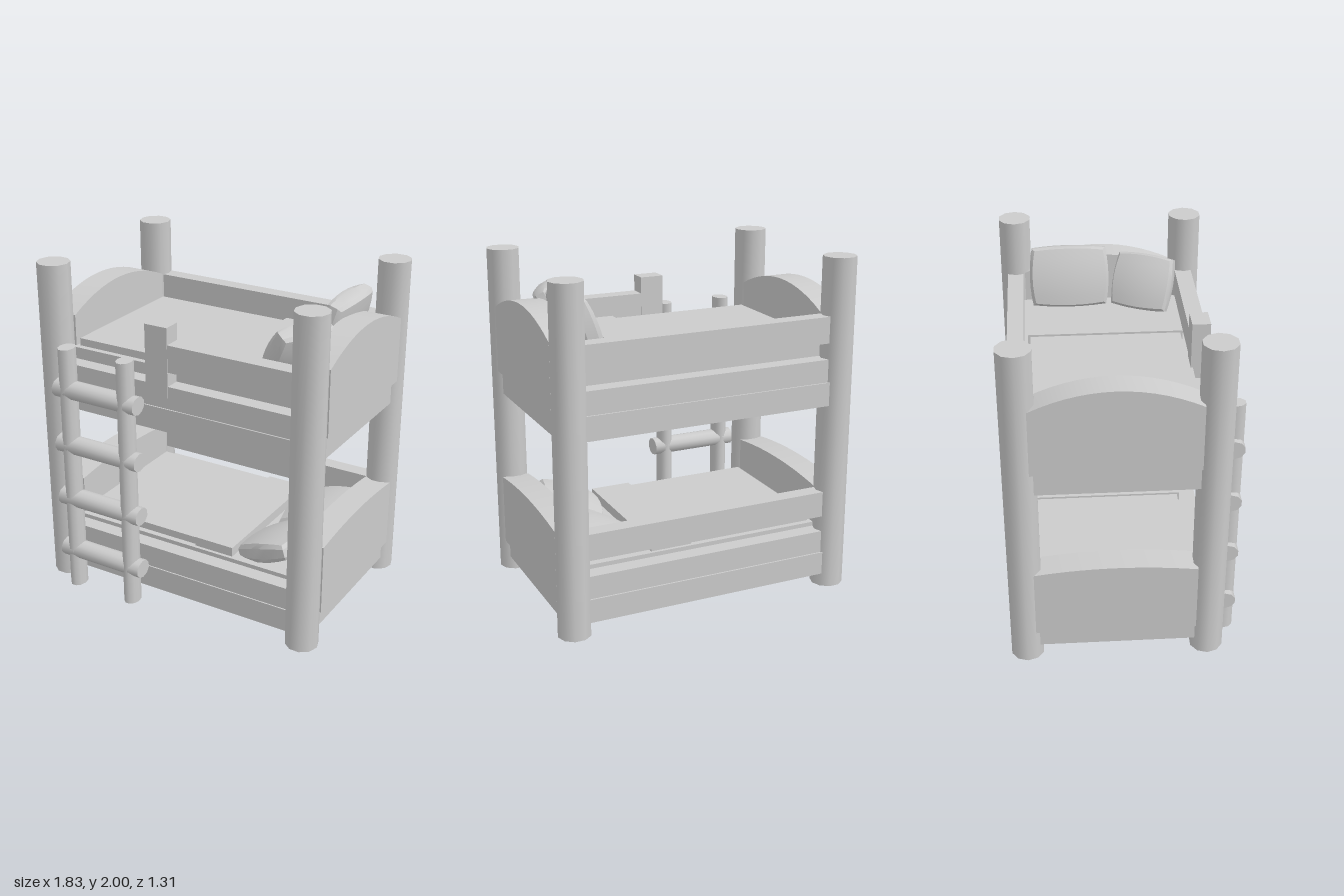
import * as THREE from 'three';
import { toCreasedNormals } from 'three/addons/utils/BufferGeometryUtils.js';

const material = new THREE.MeshStandardMaterial({ color: 0xcccccc });
const ZC = -0.043; // middle of the bed frame in z

function add(parent, name, geometry) {
  const mesh = new THREE.Mesh(geometry, material);
  mesh.name = name;
  parent.add(mesh);
  return mesh;
}

// Box given by its extents on each axis
function block(parent, name, [x0, x1], [y0, y1], [z0, z1]) {
  const mesh = add(parent, name, new THREE.BoxGeometry(x1 - x0, y1 - y0, z1 - z0));
  mesh.position.set((x0 + x1) / 2, (y0 + y1) / 2, (z0 + z1) / 2);
}

// Ten-sided pole with an oval section: radius rx across, rz in depth
function pole(parent, name, rx, rz, length, x, y, z) {
  const geometry = new THREE.CylinderGeometry(1, 1, length, 10);
  geometry.rotateY(Math.PI / 2);
  geometry.scale(rx, 1, rz);
  const mesh = add(parent, name, toCreasedNormals(geometry, 0.9));
  mesh.position.set(x, y, z);
  return mesh;
}

// End panel with an arched top, extruded along x
function endPanel(parent, name, x, bottom, shoulder, peak) {
  const w = 0.458;
  const shape = new THREE.Shape();
  shape.moveTo(-w, bottom);
  shape.lineTo(w, bottom);
  shape.lineTo(w, shoulder);
  shape.quadraticCurveTo(0, 2 * peak - shoulder, -w, shoulder);
  const geometry = new THREE.ExtrudeGeometry(shape, { depth: 0.16, bevelEnabled: false, curveSegments: 14 });
  geometry.translate(0, 0, -0.08);
  geometry.rotateY(Math.PI / 2);
  const mesh = add(parent, name, toCreasedNormals(geometry, 0.5));
  mesh.position.set(x, 0, -0.052);
}

// Pillow: plump slab with a thick rim, chamfered edges and slightly bowed sides
function pillow(parent, [x, y, z], tilt, turn, width, height) {
  const t = 0.155;
  const geometry = new THREE.BoxGeometry(height, t, width, 6, 3, 6);
  const p = geometry.attributes.position;
  for (let i = 0; i < p.count; i++) {
    const u = p.getX(i) / (height / 2);
    const v = p.getZ(i) / (width / 2);
    const onFace = Math.abs(p.getY(i)) > 0.4 * t;
    const puff = (1 - 0.24 * u * u) * (1 - 0.24 * v * v);
    const inset = onFace ? 0.07 : 0;
    p.setXYZ(i,
      p.getX(i) * (1 - 0.07 * v * v - inset),
      p.getY(i) * puff * (onFace ? 1 : 1.6),
      p.getZ(i) * (1 - 0.07 * u * u - inset));
  }
  const mesh = add(parent, 'pillow', toCreasedNormals(geometry, 0.5));
  mesh.rotation.set(0, turn, tilt, 'YXZ');
  mesh.position.set(x, y, z);
}

// Bed base, side planks, mattress and bedding; heights are above the base
function bunk(parent, name, y, mattressTop, foldX) {
  const group = new THREE.Group();
  group.name = name;
  group.position.y = y;
  parent.add(group);
  block(group, 'bedBase', [-0.875, 0.875], [0, 0.14], [-0.625, 0.528]);
  block(group, 'frontPlank', [-0.82, 0.82], [0.13, 0.275], [0.42, 0.52]);
  block(group, 'backPlank', [-0.82, 0.82], [0.13, 0.275], [-0.615, -0.52]);
  block(group, 'backRail', [-0.82, 0.82], [0.37, 0.525], [-0.615, -0.52]);
  block(group, 'mattress', [-0.745, 0.745], [0.13, mattressTop], [-0.52, 0.43]);
  block(group, 'blanket', [-0.72, foldX + 0.1], [0.28, mattressTop + 0.045], [-0.485, 0.395]);
  block(group, 'blanketFold', [foldX, foldX + 0.25], [0.27, mattressTop + 0.057], [-0.5, 0.41]);
  return group;
}

export function createModel() {
  const model = new THREE.Group();
  model.name = 'bunkBed';

  // Corner posts and arched ends
  for (const sx of [-1, 1]) {
    for (const sz of [-1, 1]) pole(model, 'cornerPost', 0.097, 0.097, 2, sx * 0.82, 1, ZC + sz * 0.52);
    endPanel(model, 'upperEndPanel', sx * 0.82, 1.28, 1.67, 1.78);
    endPanel(model, 'lowerEndPanel', sx * 0.82, 0.19, 0.61, 0.642);
  }

  // Lower bunk with two reclining pillows
  const lower = bunk(model, 'lowerBunk', 0.08, 0.3, 0.07);
  pillow(lower, [0.545, 0.375, 0.21], 0.36, -0.2, 0.42, 0.38);
  pillow(lower, [0.55, 0.365, -0.25], 0.3, 0.08, 0.46, 0.38);

  // Upper bunk with pillows leaning on the end panel
  const upper = bunk(model, 'upperBunk', 1.14, 0.345, 0.165);
  pillow(upper, [0.65, 0.545, -0.24], 1.25, 0, 0.48, 0.37);
  pillow(upper, [0.6, 0.515, 0.21], 1.08, -0.42, 0.37, 0.34);

  // Guard rail beside the ladder opening
  block(upper, 'guardRail', [-0.1, 0.82], [0.36, 0.52], [0.42, 0.52]);
  block(upper, 'guardPost', [-0.177, -0.032], [0.15, 0.62], [0.418, 0.523]);

  // Ladder
  const ladder = new THREE.Group();
  ladder.name = 'ladder';
  model.add(ladder);
  for (const x of [-0.667, -0.267]) pole(ladder, 'ladderRail', 0.047, 0.062, 1.55, x, 0.775, 0.593);
  for (let i = 0; i < 4; i++) {
    const rung = pole(ladder, 'ladderRung', 0.055, 0.062, 0.56, -0.465, 0.235 + i * 0.352, 0.593);
    rung.rotation.z = Math.PI / 2;
  }
  return model;
}
